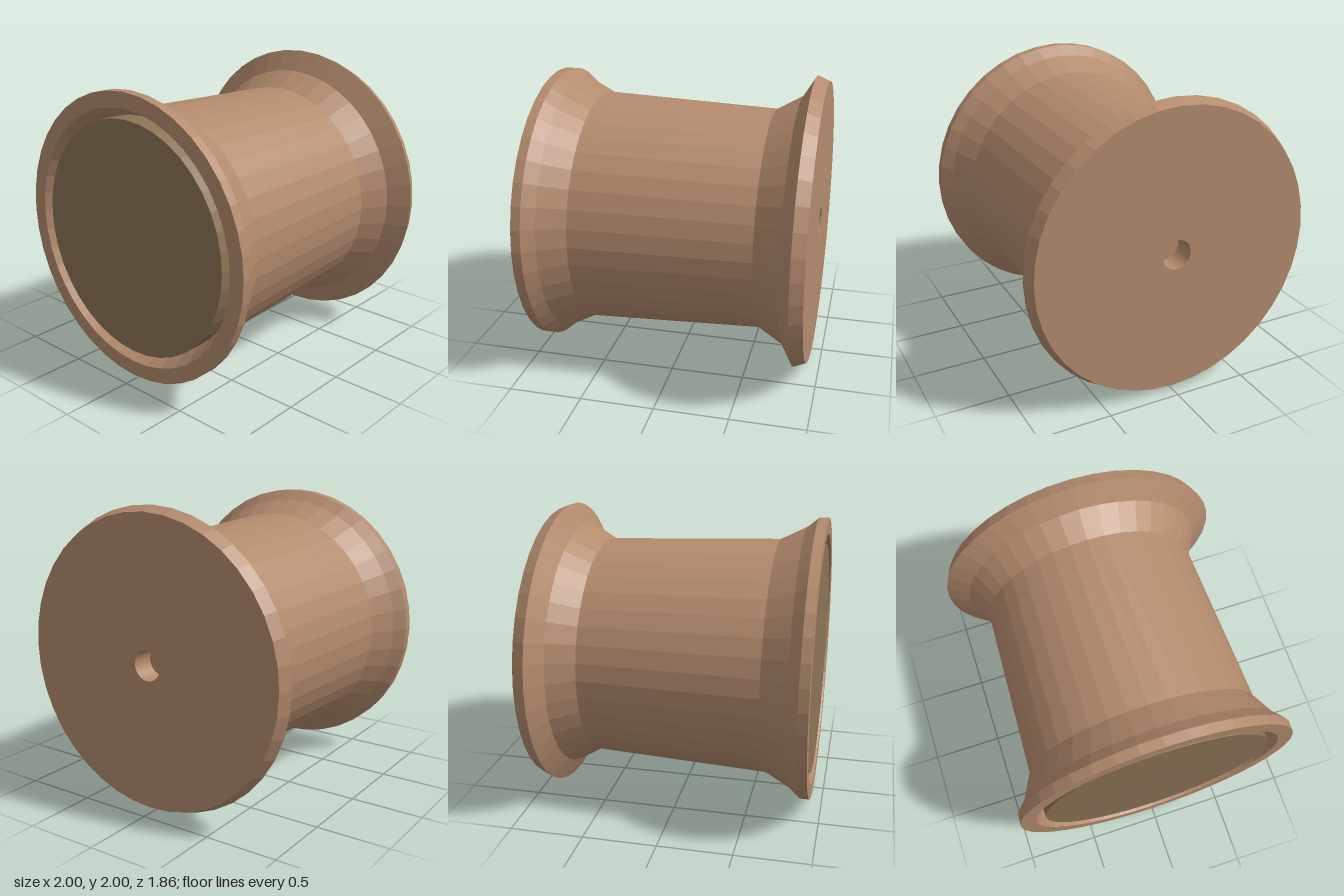
import * as THREE from 'three';

const SIDES = 40;

// Turns a list of [z, radius] pairs, ordered back to front, around the z axis
function turn(name, profile, color) {
  const points = profile.map(([z, r]) => new THREE.Vector2(r, z));
  const geometry = new THREE.LatheGeometry(points, SIDES);
  geometry.rotateX(Math.PI / 2);
  const mesh = new THREE.Mesh(geometry, new THREE.MeshStandardMaterial({ color, flatShading: true }));
  mesh.name = name;
  mesh.position.y = 1;
  return mesh;
}

export function createModel() {
  const model = new THREE.Group();
  model.name = 'spool';

  model.add(turn('spoolBody', [
    // blind hole in the back
    [-0.78, 0], [-0.78, 0.1], [-0.93, 0.1],
    // back flange
    [-0.93, 0.965], [-0.845, 1], [-0.76, 0.86],
    // tapered barrel
    [-0.585, 0.76], [0.615, 0.81],
    // front flange
    [0.79, 0.9], [0.865, 0.965], [0.93, 0.965],
    // recess in the front
    [0.93, 0.86], [0.86, 0.825], [0.78, 0.79], [0.78, 0],
  ], 0xb38b6d));

  // Disc filling the recess, almost flush with the rim
  model.add(turn('frontDisc', [
    [0.77, 0], [0.77, 0.79], [0.92, 0.79], [0.92, 0],
  ], 0x8b7355));

  return model;
}
